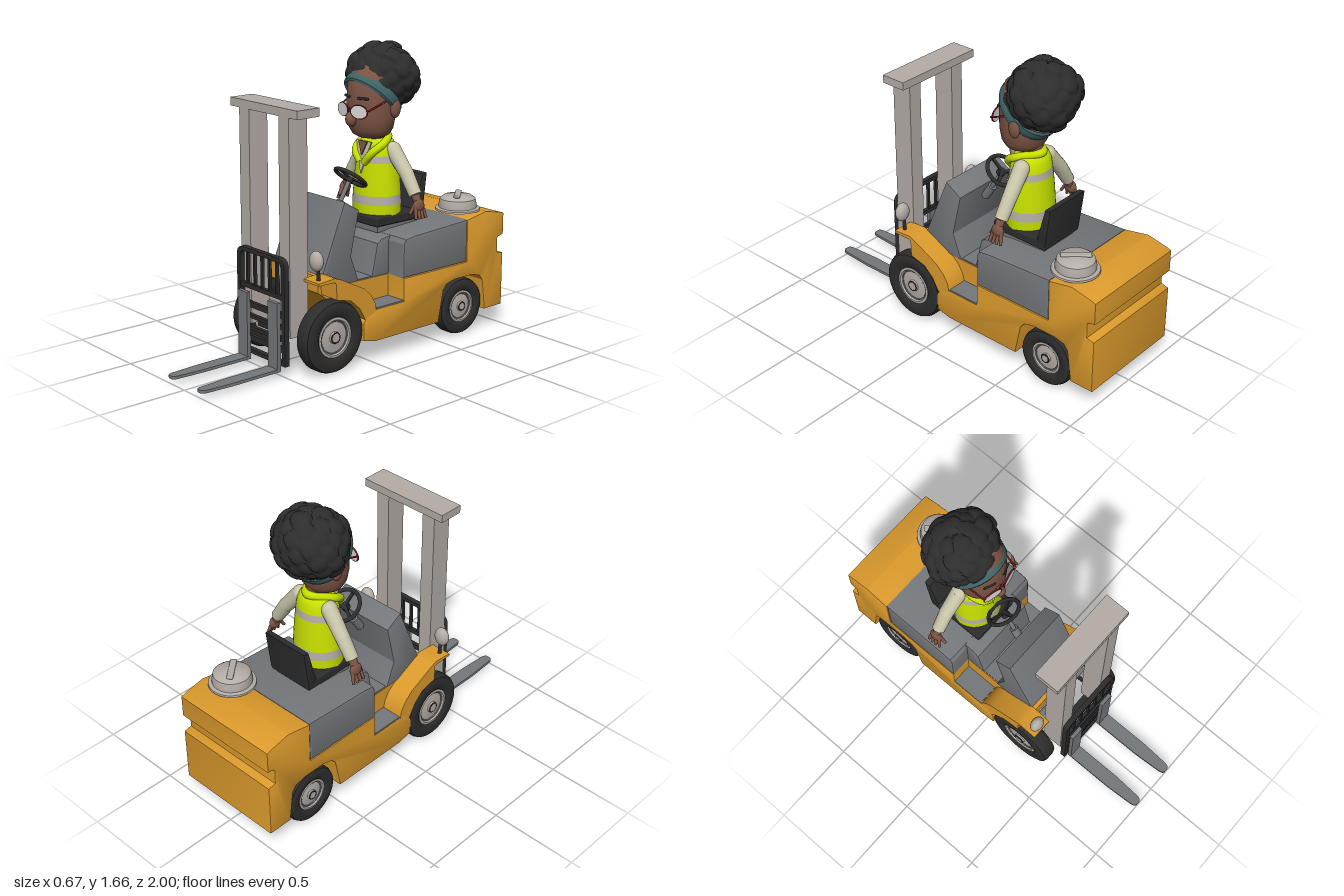
import * as THREE from 'three';
import { toCreasedNormals } from 'three/addons/utils/BufferGeometryUtils.js';
import { RoundedBoxGeometry } from 'three/addons/geometries/RoundedBoxGeometry.js';

const mat = (name, color, side = THREE.FrontSide) => {
  const m = new THREE.MeshStandardMaterial({ color, side });
  m.name = name;
  return m;
};
const V = (x, y, z) => new THREE.Vector3(x, y, z);

export function createModel() {
  const orange = mat('orange paint', 0xdb9a2c), grey = mat('grey panel', 0x75787b);
  const black = mat('black rubber', 0x2d2d2d), silver = mat('light metal', 0xb5ada7, THREE.DoubleSide);
  const yellow = mat('safety yellow', 0xc6e000), cream = mat('cream cloth', 0xc9c5aa);
  const skin = mat('skin', 0x7d5444), teal = mat('teal cloth', 0x3f6466, THREE.DoubleSide);
  const red = mat('dark red', 0x741822), white = mat('lens white', 0xdedede);
  const root = new THREE.Group();
  root.name = 'forkliftWithDriver';

  const add = (name, geo, m, x = 0, y = 0, z = 0, parent = root) => {
    const o = new THREE.Mesh(geo, m);
    o.name = name;
    o.position.set(x, y, z);
    parent.add(o);
    return o;
  };
  const box = (name, m, w, h, d, x, y, z, r = 0) =>
    add(name, r ? new RoundedBoxGeometry(w, h, d, 3, r) : new THREE.BoxGeometry(w, h, d), m, x, y, z);
  const ball = (name, m, rx, ry, rz, x, y, z) =>
    add(name, new THREE.SphereGeometry(1, 24, 16).scale(rx, ry, rz), m, x, y, z);
  // Side profile of [z, y] points, extruded across x
  const slab = (name, m, pts, width, x = 0, bevel = 0) => {
    const shape = new THREE.Shape(pts.map(p => new THREE.Vector2(p[0], p[1])));
    const g = new THREE.ExtrudeGeometry(shape, { depth: width - 2 * bevel, bevelEnabled: bevel > 0,
      bevelSize: bevel, bevelThickness: bevel, bevelOffset: -bevel, bevelSegments: 2 });
    g.translate(0, 0, -width / 2 + bevel).rotateY(-Math.PI / 2);
    return add(name, toCreasedNormals(g, 0.5), m, x);
  };
  const lathe = (pts, n = 40) => toCreasedNormals(
    new THREE.LatheGeometry(pts.map(p => new THREE.Vector2(p[0], p[1])), n), 0.7);
  // Tapered rod from a to b
  const rod = (name, m, a, b, ra, rb = ra) => {
    const dir = b.clone().sub(a);
    const o = add(name, new THREE.CylinderGeometry(rb, ra, dir.length(), 18), m);
    o.position.copy(a).add(b).multiplyScalar(0.5);
    o.quaternion.setFromUnitVectors(V(0, 1, 0), dir.normalize());
    return o;
  };

  // Chassis and counterweight, with the rear groove and wheel arch
  slab('chassis', orange, [[-1, .12], [-1, .43], [-.955, .44], [-.955, .53], [-1, .54], [-1, .665], [-.97, .675],
    [-.85, .7], [-.705, .672], [-.705, .43], [-.22, .43], [-.22, .3], [.03, .3], [.07, .24], [.07, .14], [-.02, .12],
    [-.49, .12], [-.525, .3], [-.55, .33], [-.61, .345], [-.75, .345], [-.81, .33], [-.835, .3], [-.86, .12]], .65, 0, .006);
  slab('frontChassis', orange, [[-.24, .2], [-.24, .43], [.2, .435], [.25, .51], [.28, .51], [.28, .42],
    [.2, .36], [.07, .2]], .4);
  slab('hood', grey, [[-.706, .43], [-.706, .675], [-.3, .655], [-.235, .645], [-.22, .62], [-.22, .43]], .648, 0, .012);
  slab('hoodFront', grey, [[-.24, .43], [-.24, .645], [-.17, .635], [-.14, .615], [-.1, .43]], .4, 0, .008);
  slab('dashboard', grey, [[.25, .435], [.26, .5], [.1, .885], [0, .825], [.055, .58], [0, .435]], .41, 0, .005);
  box('floorMat', grey, .39, .008, .12, 0, .434, -.045);

  // Fenders, steps, lamps
  for (const s of [-1, 1]) {
    slab('fender', orange, [[-.02, .29], [-.01, .34], [.02, .39], [.07, .435], [.23, .515], [.27, .53], [.38, .522],
      [.38, .508], [.28, .508], [.262, .5], [.258, .41], [.16, .385], [.1, .33], [.06, .26]], .125, s * .2625);
    box('step', grey, .12, .008, .2, s * .262, .303, -.122);
    ball('lamp', silver, .045, .055, .032, s * .282, .63, .36);
    rod('lampPost', black, V(s * .282, .51, .345), V(s * .282, .6, .35), .01);
  }

  // Wheels and axles
  const wheel = (name, r, w, x, y, z, s) => {
    const g = new THREE.Group(), h = w / 2, hub = r * .56;
    g.name = name;
    add('tire', lathe([[hub, -h * .8], [hub + .012, -h], [r * .86, -h], [r * .96, -h * .86], [r, -h * .5], [r, h * .5],
      [r * .96, h * .86], [r * .86, h], [hub + .012, h], [hub, h * .8]], 48), black, 0, 0, 0, g);
    add('rim', lathe([[0, -h * .6], [hub, -h * .6], [hub, h * .85], [hub * .88, h * .88], [hub * .8, h * .6],
      [hub * .3, h * .72], [hub * .25, h], [0, h]]), silver, 0, 0, 0, g);
    add('rimRing', new THREE.TorusGeometry(hub * .8, .004, 8, 32).rotateX(Math.PI / 2), grey, 0, h * .66, 0, g);
    add('hubRing', new THREE.TorusGeometry(hub * .25, .004, 8, 24).rotateX(Math.PI / 2), black, 0, h * .95, 0, g);
    g.rotation.z = -s * Math.PI / 2;
    g.position.set(x, y, z);
    root.add(g);
  };
  for (const s of [-1, 1]) {
    wheel('frontWheel', .197, .1, s * .273, .203, .262, s);
    wheel('rearWheel', .163, .1, s * .265, .17, -.685, s);
  }
  rod('frontAxle', grey, V(-.25, .203, .262), V(.25, .203, .262), .018);
  rod('rearAxle', grey, V(-.25, .17, -.685), V(.25, .17, -.685), .018);

  // Mast
  for (const s of [-1, 1]) box('mastColumn', silver, .082, 1.17, .12, s * .163, .8, .413);
  box('mastBeam', silver, .55, .045, .145, 0, 1.4, .403);
  box('mastLowerBeam', black, .26, .03, .05, 0, .205, .4);

  // Load backrest: rounded frame with bars
  const frame = new THREE.Shape();
  frame.moveTo(-.2, .065).lineTo(.2, .065).lineTo(.2, .59).quadraticCurveTo(.2, .645, .145, .645)
    .lineTo(-.145, .645).quadraticCurveTo(-.2, .645, -.2, .59).closePath();
  const hole = new THREE.Path();
  hole.moveTo(-.175, .088).lineTo(-.175, .585).quadraticCurveTo(-.175, .622, -.14, .622)
    .lineTo(.14, .622).quadraticCurveTo(.175, .622, .175, .585).lineTo(.175, .088).closePath();
  frame.holes.push(hole);
  add('backrestFrame', new THREE.ExtrudeGeometry(frame, { depth: .03, bevelEnabled: false }), black, 0, 0, .477);
  for (let i = -2; i <= 2; i++) box('backrestBar', black, .014, .2, .016, i * .062, .53, .492);
  for (const [y, h] of [[.435, .025], [.335, .03], [.27, .02], [.205, .02], [.15, .03]])
    box('carriageRail', black, .37, h, .022, 0, y, .492);

  // Forks
  const blade = new THREE.Shape();
  blade.moveTo(-.04, .51).lineTo(.04, .51).lineTo(.04, .8).lineTo(.03, .97).quadraticCurveTo(.026, 1, .01, 1)
    .lineTo(-.01, 1).quadraticCurveTo(-.026, 1, -.03, .97).lineTo(-.04, .8).closePath();
  for (const s of [-1, 1]) {
    add('forkBlade', new THREE.ExtrudeGeometry(blade, { depth: .016, bevelEnabled: false }).rotateX(Math.PI / 2),
      grey, s * .128, .049, 0);
    box('forkShank', grey, .08, .375, .022, s * .128, .222, .519);
  }

  // Seat
  box('seatBase', grey, .24, .04, .3, 0, .665, -.36);
  box('seatCushion', black, .29, .055, .35, 0, .71, -.355, .012);
  slab('seatBack', black, [[-.47, .72], [-.525, .93], [-.56, .935], [-.53, .7]], .29, 0, .008);

  // Steering
  const steer = new THREE.Group();
  steer.name = 'steeringWheel';
  steer.position.set(0, .95, -.12);
  steer.rotation.x = -.66;
  root.add(steer);
  add('steeringRim', new THREE.TorusGeometry(.092, .011, 10, 36).rotateX(Math.PI / 2), black, 0, 0, 0, steer);
  add('steeringHub', new THREE.CylinderGeometry(.022, .025, .025, 18), black, 0, -.015, 0, steer);
  for (let i = 0; i < 3; i++)
    add('spoke', new THREE.BoxGeometry(.018, .01, .09).translate(0, -.005, .045).rotateY(i * Math.PI * 2 / 3), black, 0, 0, 0, steer);
  rod('steeringColumn', grey, V(0, .77, -.015), V(0, .935, -.11), .012);
  rod('columnBoot', grey, V(0, .75, 0), V(0, .83, -.05), .024);

  // Hard hat lying on the counterweight
  add('hardHat', lathe([[.105, 0], [.108, .035], [.1, .07], [.08, .085], [0, .095]]), silver, .185, .695, -.765);
  add('hatBrim', lathe([[.095, -.004], [.128, -.004], [.126, .006], [.1, .012]]), silver, .185, .705, -.765);
  const ridge = box('hatRidge', silver, .035, .014, .16, .185, .787, -.765, .006);
  ridge.rotation.y = .7;

  // Driver torso: vest with reflective bands
  const torso = (name, m, pts) => add(name, lathe(pts).scale(1.12, 1, .98), m, 0, 0, -.315);
  torso('vestHem', yellow, [[0, .73], [.128, .73], [.13, .79]]);
  torso('lowerBand', silver, [[.13, .79], [.127, .84]]);
  torso('vestMiddle', yellow, [[.127, .84], [.12, .94], [.112, 1.02]]);
  torso('upperBand', silver, [[.112, 1.02], [.107, 1.06]]);
  torso('vestShoulders', yellow, [[.107, 1.06], [.1, 1.1], [.085, 1.135], [.05, 1.155], [0, 1.16]]);
  const patch = (name, m, w, yTop, yBottom, z, tilt) => {
    const s = new THREE.Shape([[-w, yTop], [0, yBottom], [w, yTop]].map(p => new THREE.Vector2(p[0], p[1] - yBottom)));
    add(name, new THREE.ExtrudeGeometry(s, { depth: .008, bevelEnabled: false }), m, 0, yBottom, z).rotation.x = tilt;
  };
  patch('shirtFront', cream, .06, 1.14, .96, -.198, -.14);
  patch('openNeck', skin, .035, 1.14, 1.06, -.203, -.14);
  const collar = new THREE.CatmullRomCurve3([V(-.015, 1.02, -.205), V(-.065, 1.08, -.215), V(-.085, 1.13, -.29),
    V(0, 1.155, -.385), V(.085, 1.13, -.29), V(.065, 1.08, -.215), V(.015, 1.02, -.205)]);
  add('collar', new THREE.TubeGeometry(collar, 48, .022, 10), yellow);

  // Arms and hands
  for (const s of [-1, 1]) {
    const shoulder = V(s * .105, 1.09, -.335), elbow = V(s * .205, .97, -.345), wrist = V(s * .275, .865, -.345);
    ball('shoulder', cream, .045, .045, .045, ...shoulder.toArray());
    ball('elbow', cream, .04, .04, .04, ...elbow.toArray());
    rod('upperSleeve', cream, shoulder, elbow, .045, .04);
    rod('lowerSleeve', cream, elbow, wrist, .04, .036);
    rod('wrist', skin, wrist, V(s * .295, .825, -.345), .025, .022);
    ball('palm', skin, .022, .038, .038, s * .3, .81, -.345);
    for (let i = 0; i < 4; i++)
      rod('finger', skin, V(s * .303, .8, -.32 - i * .017), V(s * (.328 - Math.abs(i - 1.5) * .004), .743, -.307 - i * .025), .011, .008);
    rod('thumb', skin, V(s * .295, .825, -.325), V(s * .29, .77, -.29), .011, .008);
  }

  // Head
  rod('neck', skin, V(0, 1.1, -.315), V(0, 1.25, -.31), .06, .065);
  add('head', lathe([[0, 1.155], [.07, 1.158], [.105, 1.175], [.126, 1.21], [.137, 1.27], [.14, 1.36], [.135, 1.45],
    [.11, 1.52], [.06, 1.56], [0, 1.57]]).scale(1, 1, .93), skin, 0, 0, -.268);
  ball('nose', skin, .03, .042, .036, -.012, 1.268, -.135);
  for (const s of [-1, 1]) {
    ball('ear', skin, .022, .052, .034, s * .142, 1.325, -.315);
    const brow = box('eyebrow', black, .07, .014, .012, s * .062, 1.385, -.152, .005);
    brow.rotation.y = s * .35;
    // Glasses
    const eye = new THREE.Group();
    eye.name = 'eyeglass';
    eye.position.set(s * .064 - .006, 1.315, -.128);
    eye.rotation.y = s * .22;
    root.add(eye);
    add('lens', new THREE.CylinderGeometry(1, 1, .008, 28).rotateX(Math.PI / 2).scale(.053, .036, 1), white, 0, 0, 0, eye);
    add('lensRim', new THREE.TorusGeometry(1, .09, 8, 32).scale(.053, .036, .053), red, 0, 0, 0, eye);
    rod('glassesTemple', red, V(s * .12, 1.325, -.14), V(s * .146, 1.395, -.31), .005);
  }
  rod('glassesBridge', red, V(-.02, 1.325, -.125), V(.01, 1.325, -.125), .005);

  // Curly hair: bumpy ball flattened along the headband plane
  const hair = new THREE.SphereGeometry(1, 80, 56), p = hair.attributes.position, bumps = [];
  for (let i = 0; i < 64; i++) {
    const y = 1 - 2 * (i + .5) / 64, a = i * 2.39996, r = Math.sqrt(1 - y * y);
    bumps.push(V(r * Math.cos(a), y, r * Math.sin(a)));
  }
  const n = V(0, .721, -.693), onPlane = V(0, 1.5, -.17), v = V();
  for (let i = 0; i < p.count; i++) {
    v.fromBufferAttribute(p, i);
    let d = -1, k = 0;
    bumps.forEach((b, j) => { const t = b.dot(v); if (t > d) { d = t; k = j; } });
    const r = .9 + .05 * Math.sin(k * 7.3) + .11 * Math.sqrt(Math.max(0, 1 - (1 - d) / .045));
    v.multiplyScalar(r).multiply(V(.21, .19, .197)).add(V(-.02, 1.475, -.367));
    const depth = v.clone().sub(onPlane).dot(n);
    if (depth < 0) v.addScaledVector(n, -depth);
    p.setXYZ(i, v.x, v.y, v.z);
  }
  hair.computeVertexNormals();
  add('hair', hair, black);
  const band = add('headband', lathe([[.96, -.035], [1.03, -.025], [1.05, 0], [1.03, .025], [.96, .035]]).scale(.158, 1, .172),
    teal, -.01, 1.383, -.288);
  band.rotation.x = -.766;

  root.position.x = .005;
  const model = new THREE.Group();
  model.name = 'model';
  model.add(root);
  return model;
}
